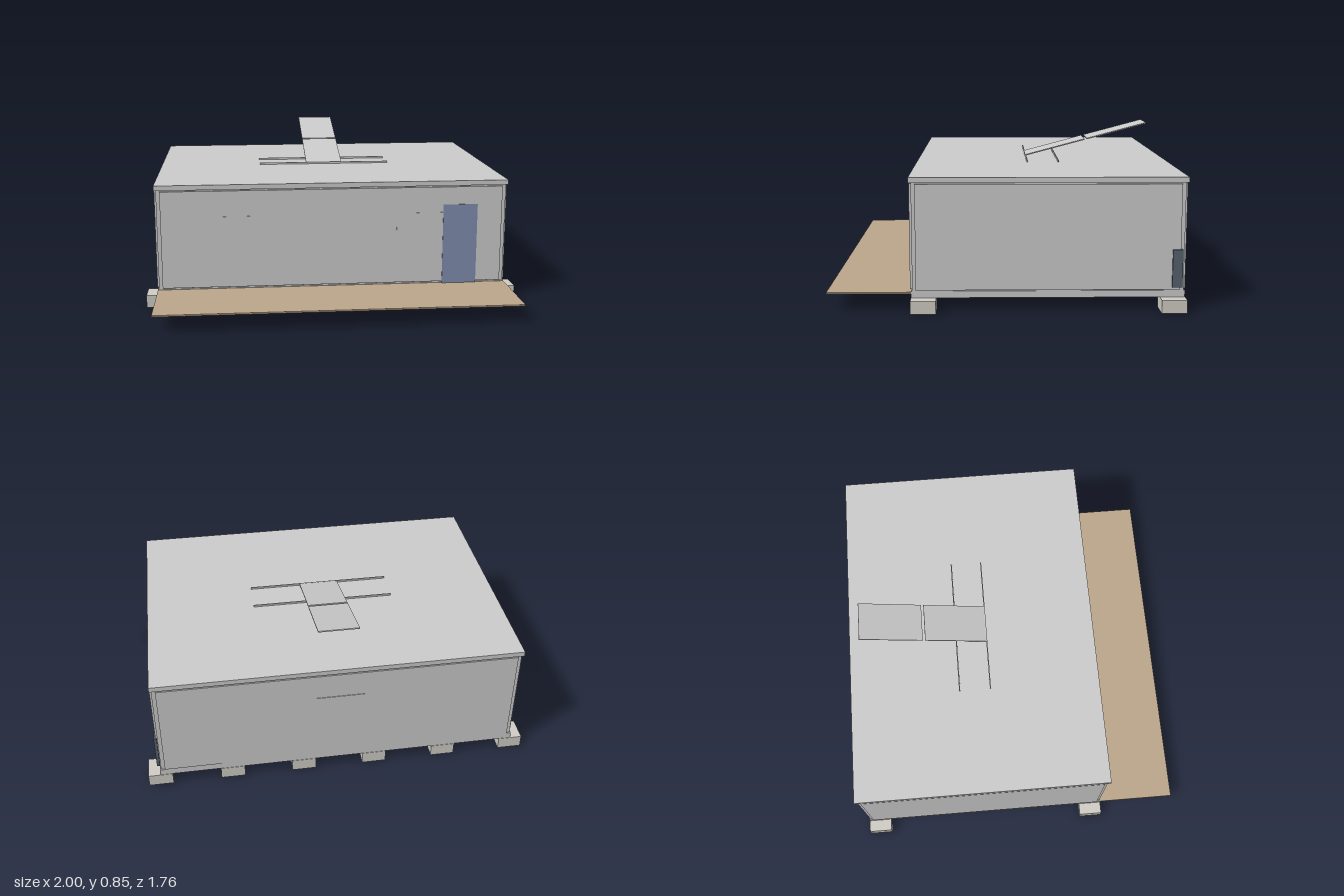
import * as THREE from 'three';

export function createModel() {
  const model = new THREE.Group();
  const paint = (color) => new THREE.MeshStandardMaterial({ color, flatShading: true });
  const grey = paint(0xcccccc);
  const concrete = paint(0xd0cdc5);
  const wood = paint(0xbca68a);
  const blue = paint(0x808db0);
  const slate = paint(0x56616f);

  // Box given by its extents on each axis
  function block(name, [x0, x1], [y0, y1], [z0, z1], material = grey) {
    const mesh = new THREE.Mesh(new THREE.BoxGeometry(x1 - x0, y1 - y0, z1 - z0), material);
    mesh.position.set((x0 + x1) / 2, (y0 + y1) / 2, (z0 + z1) / 2);
    mesh.name = name;
    model.add(mesh);
    return mesh;
  }

  const back = -0.875, front = 0.467;

  // Foundation blocks in two rows of six
  for (const [z0, z1] of [[0.343, 0.467], [-0.877, -0.753]]) {
    for (let i = 0; i < 6; i++) {
      const x = -0.9375 + i * 0.375;
      block('foundationBlock', [x - 0.0625, x + 0.0625], [0, 0.066], [z0, z1], concrete);
    }
  }

  // Floor in three sections, with a base rail around it
  for (let i = 0; i < 3; i++) {
    const x = -0.935 + i * 0.6233;
    block('floorSection', [x + 0.001, x + 0.6223], [0.066, 0.09], [back + 0.005, front - 0.005], concrete);
  }
  for (const s of [-1, 1]) {
    block('sideBaseRail', s < 0 ? [-0.938, -0.925] : [0.925, 0.938], [0.066, 0.1], [back, front]);
  }
  block('frontBaseRail', [-0.925, 0.925], [0.066, 0.1], [front - 0.01, front]);
  block('backBaseRail', [-0.925, 0.925], [0.066, 0.1], [back, back + 0.01]);

  // Wall core, recessed at the corners and under the roof
  block('wallCore', [-0.932, 0.932], [0.09, 0.637], [-0.869, 0.461]);

  // Cladding panels standing proud of the core
  block('frontPanel', [-0.912, 0.912], [0.105, 0.628], [0.455, 0.473]);
  block('backPanel', [-0.912, 0.912], [0.105, 0.628], [-0.88, -0.862]);
  block('leftPanel', [0.92, 0.942], [0.105, 0.628], [-0.85, 0.443]);
  block('rightPanel', [-0.942, -0.92], [0.105, 0.628], [-0.85, 0.443]);

  // Roof slab
  block('roof', [-0.942, 0.942], [0.635, 0.661], [-0.881, 0.474]);

  // Door and flush window panes
  block('door', [0.592, 0.778], [0.095, 0.532], [0.46, 0.476], blue);
  for (const x of [-0.6, 0.34]) {
    block('frontWindow', [x, x + 0.25], [0.28, 0.49], [0.465, 0.4745]);
  }
  block('backWindow', [-0.125, 0.125], [0.28, 0.49], [-0.883, -0.87]);

  // Front deck
  block('deck', [-0.938, 0.938], [0.087, 0.095], [0.467, 0.88], wood);

  // Wall-mounted equipment box on the left side
  block('equipmentBox', [0.935, 0.951], [0.116, 0.305], [-0.86, -0.81], slate);

  // Roof rails
  for (const z of [-0.122, -0.29]) {
    block('roofRail', [-0.375, 0.375], [0.659, 0.671], [z - 0.003, z + 0.003]);
  }

  // Tilted roof panels, each from its low front edge to its high back edge
  for (const [z0, y0, z1, y1] of [[-0.12, 0.666, -0.456, 0.756], [-0.469, 0.759, -0.803, 0.848]]) {
    const length = Math.hypot(z1 - z0, y1 - y0);
    const panel = new THREE.Mesh(new THREE.BoxGeometry(0.208, 0.006, length), grey);
    panel.position.set(0, (y0 + y1) / 2, (z0 + z1) / 2);
    panel.rotation.x = Math.atan2(y1 - y0, z0 - z1);
    panel.name = 'tiltedRoofPanel';
    model.add(panel);
  }

  return model;
}
